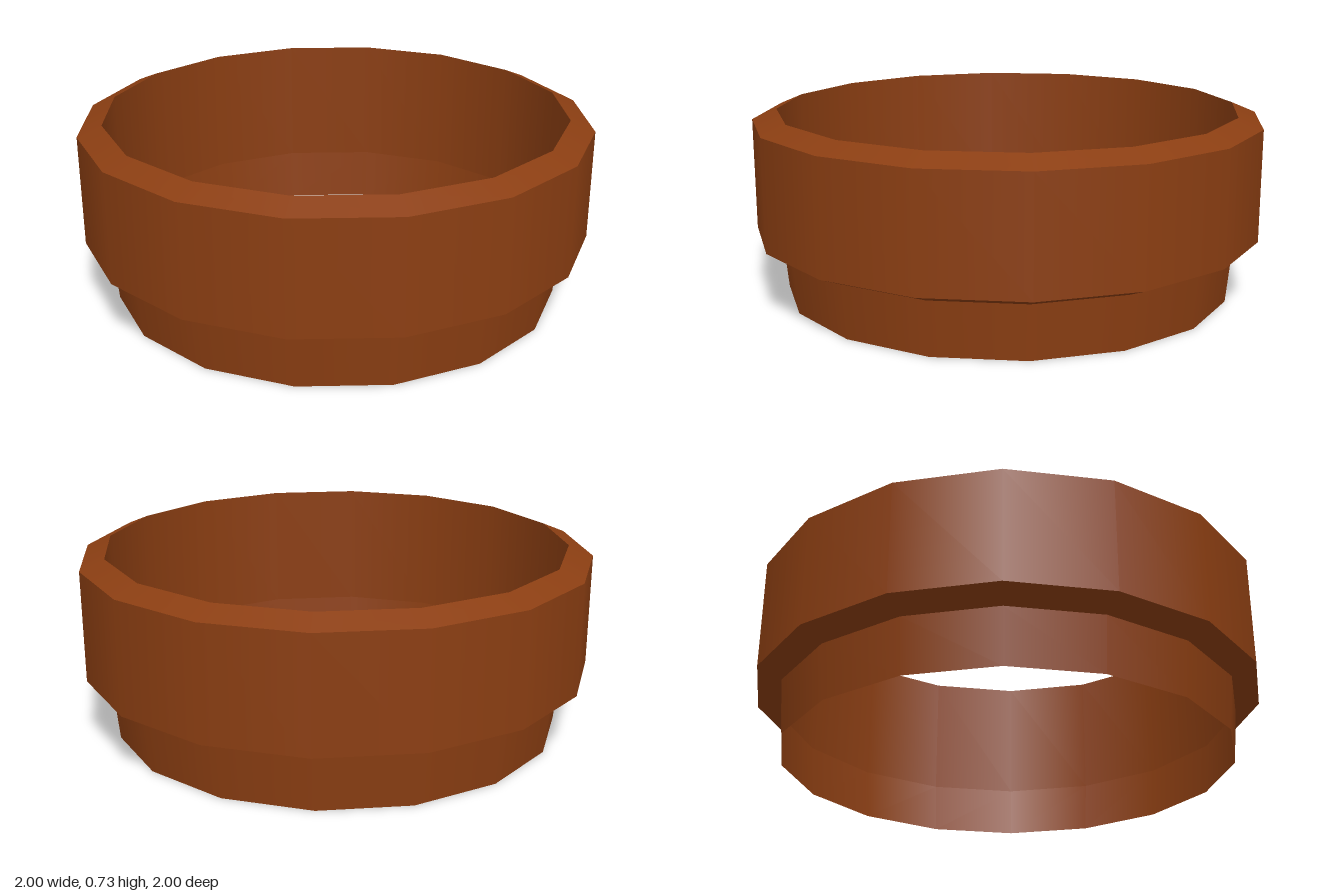
import * as THREE from 'three';

const SIDES = 16;

export function createModel() {
  const group = new THREE.Group();
  group.name = 'ringCollar';
  const material = new THREE.MeshStandardMaterial({ color: 0x8b3e12, side: THREE.DoubleSide });

  // Section corners [radius, height]: up the outside, over the top, down the inside
  const foot = [0.885, 0];
  const neck = [0.905, 0.21];
  const rimLow = [1, 0.25];
  const rimHigh = [1, 0.685];
  const lip = [0.905, 0.725];

  // Each band is its own lathe: smooth around, sharp between bands
  const band = (name, from, to) => {
    const points = [from, to].map(([r, y]) => new THREE.Vector2(r, y));
    const mesh = new THREE.Mesh(new THREE.LatheGeometry(points, SIDES), material);
    mesh.name = name;
    group.add(mesh);
  };

  band('lowerSleeve', foot, neck);
  band('rimUnderside', neck, rimLow);
  band('rimWall', rimLow, rimHigh);
  band('rimTopBevel', rimHigh, lip);
  band('innerWall', lip, neck);

  return group;
}
